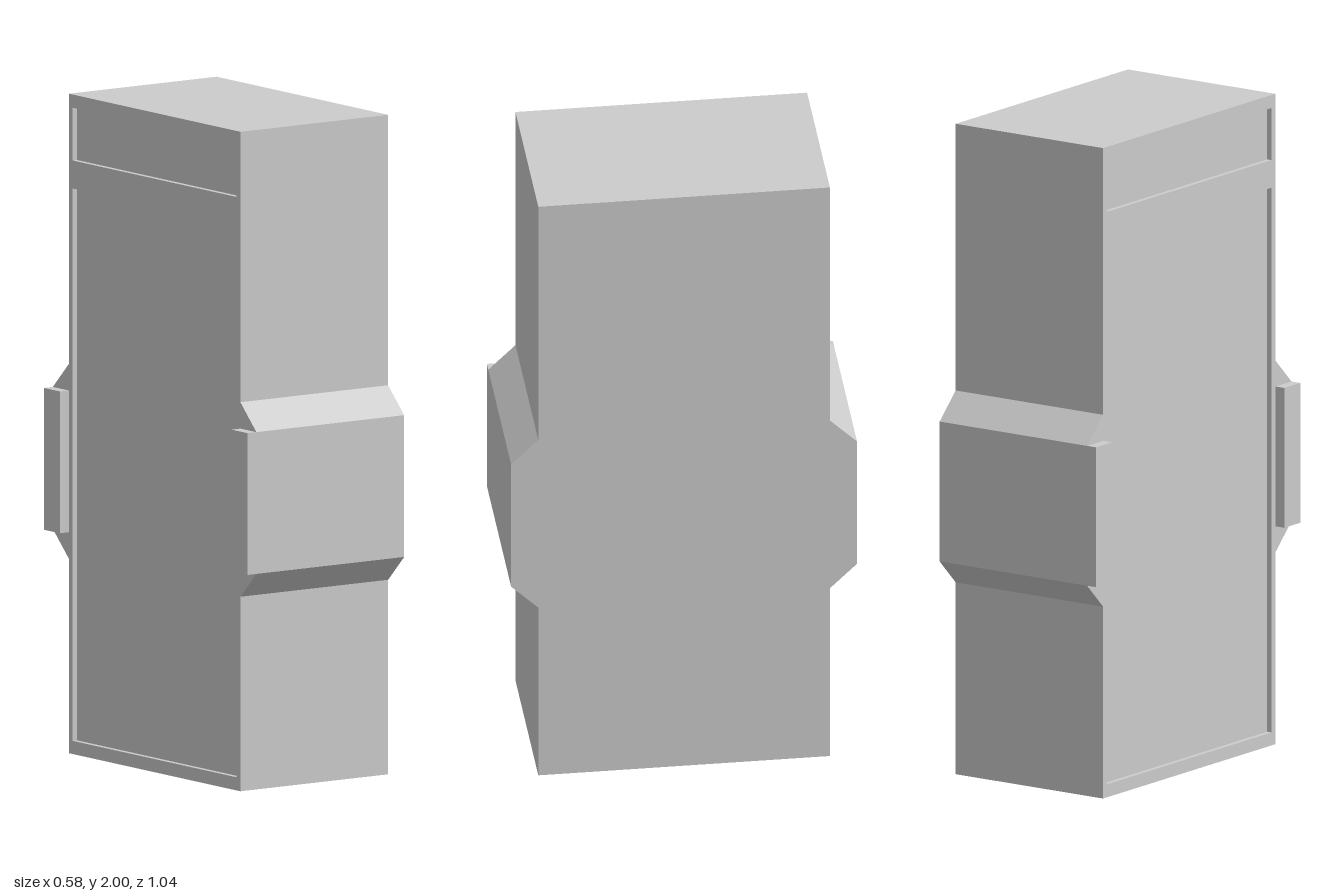
import * as THREE from 'three';

const X_BACK = 0.289, X_FACE = -0.256, RECESS = 0.016;
const HALF = 0.44, BUMP = 0.522;

// Side profile: shape x becomes model z, with a chamfered bulge on both edges
function profile() {
  const edge = [[HALF, 0], [HALF, 0.59], [BUMP, 0.67], [BUMP, 1.1], [HALF, 1.18], [HALF, 2]];
  const mirrored = edge.map(([z, y]) => [-z, y]).reverse();
  return new THREE.Shape([...edge, ...mirrored].map(([z, y]) => new THREE.Vector2(z, y)));
}

function rectHole(z, y0, y1) {
  return new THREE.Path([[-z, y0], [-z, y1], [z, y1], [z, y0]].map(([a, b]) => new THREE.Vector2(a, b)));
}

// Extrude a side profile towards -x, starting at xStart
function extrudeAcross(shape, xStart, depth) {
  return new THREE.ExtrudeGeometry(shape, { depth, bevelEnabled: false })
    .rotateY(-Math.PI / 2)
    .translate(xStart, 0, 0);
}

export function createModel() {
  const model = new THREE.Group();
  const material = new THREE.MeshStandardMaterial({ color: 0xcccccc, flatShading: true });
  const add = (name, geometry) => {
    const mesh = new THREE.Mesh(geometry, material);
    mesh.name = name;
    model.add(mesh);
    return mesh;
  };

  // Solid cabinet; its -x side forms the floor of the recesses
  add('cabinetBody', extrudeAcross(profile(), X_BACK, X_BACK - X_FACE - RECESS));

  // Thin frame with the door opening and the upper panel opening
  const frame = profile();
  frame.holes.push(rectHole(0.42, 0.04, 1.715), rectHole(0.42, 1.8, 1.96));
  add('doorFrame', extrudeAcross(frame, X_FACE + RECESS, RECESS));

  // Grip blocks standing proud of the bulges on the door side
  for (const side of [1, -1]) {
    const depth = X_FACE + 0.289;
    const grip = add(side > 0 ? 'frontGrip' : 'backGrip', new THREE.BoxGeometry(depth, 0.43, BUMP - HALF));
    grip.position.set(X_FACE - depth / 2, 0.885, side * (BUMP + HALF) / 2);
  }
  return model;
}
